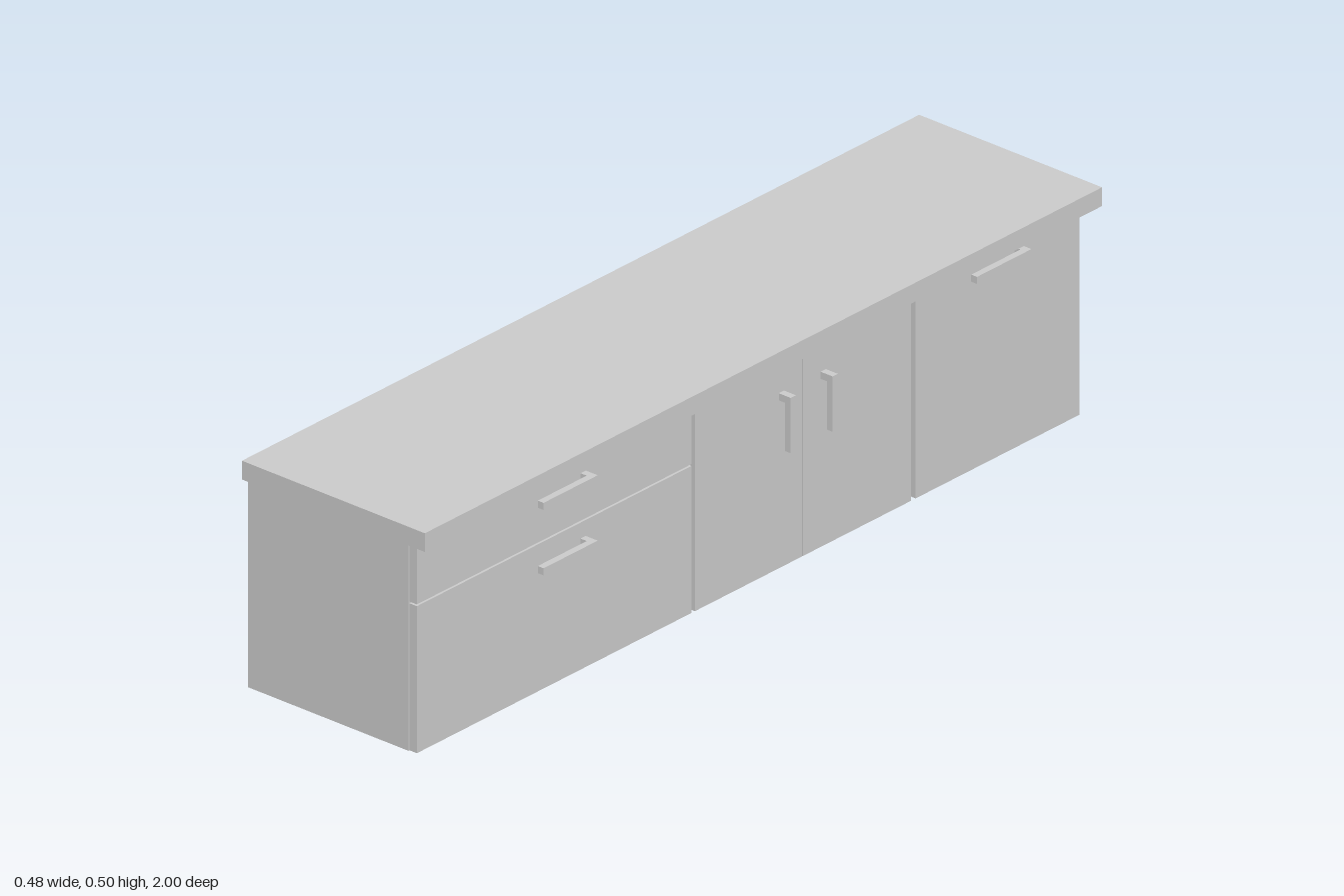
import * as THREE from 'three';

const grey = new THREE.MeshStandardMaterial({ color: 0xcccccc, flatShading: true });

// Box given by its limits on each axis
function block(name, [x0, x1], [y0, y1], [z0, z1]) {
  const mesh = new THREE.Mesh(new THREE.BoxGeometry(x1 - x0, y1 - y0, z1 - z0), grey);
  mesh.name = name;
  mesh.position.set((x0 + x1) / 2, (y0 + y1) / 2, (z0 + z1) / 2);
  return mesh;
}

const FACE = 0.203;            // outer face of doors and drawers
const BAR = [0.219, 0.234];    // depth of a handle's grip
const T = 0.0155;              // handle thickness

// L-shaped handle: a grip with a single post at one end
function handle(name, y, z, vertical) {
  const group = new THREE.Group();
  group.name = name;
  const postY = vertical ? [y[1] - T, y[1]] : y;
  const postZ = vertical ? z : [z[0], z[0] + T];
  group.add(block('grip', BAR, y, z), block('post', [FACE, BAR[0]], postY, postZ));
  return group;
}

export function createModel() {
  const model = new THREE.Group();
  model.name = 'kitchenBaseCabinets';

  model.add(block('countertop', [-0.239, 0.237], [0.459, 0.5], [-1, 1]));

  // Three cabinet bodies standing side by side with narrow gaps
  const units = { drawer: [0.174, 0.985], doubleDoor: [-0.475, 0.164], singleDoor: [-0.972, -0.488] };
  for (const [name, z] of Object.entries(units))
    model.add(block(name + 'Carcass', [-0.236, 0.181], [0, 0.459], z));

  // Drawer fronts and doors, held slightly off the bodies
  const depth = [0.184, FACE], split = -0.1535, gap = 0.0015;
  const full = [0.002, 0.458];
  model.add(
    block('upperDrawerFront', depth, [0.3275, 0.458], units.drawer),
    block('lowerDrawerFront', depth, [0.002, 0.3235], units.drawer),
    block('leftDoor', depth, full, [split + gap, units.doubleDoor[1]]),
    block('rightDoor', depth, full, [units.doubleDoor[0], split - gap]),
    block('singleDoor', depth, full, units.singleDoor),
  );

  // Horizontal handles
  model.add(
    handle('upperDrawerHandle', [0.416, 0.416 + T], [0.486, 0.646], false),
    handle('lowerDrawerHandle', [0.273, 0.273 + T], [0.486, 0.646], false),
    handle('singleDoorHandle', [0.426, 0.426 + T], [-0.795, -0.634], false),
  );

  // Upright handles either side of the door split
  for (const side of [1, -1]) {
    const c = split + side * 0.062;
    model.add(handle(side > 0 ? 'leftDoorHandle' : 'rightDoorHandle', [0.264, 0.385], [c - T / 2, c + T / 2], true));
  }
  return model;
}
